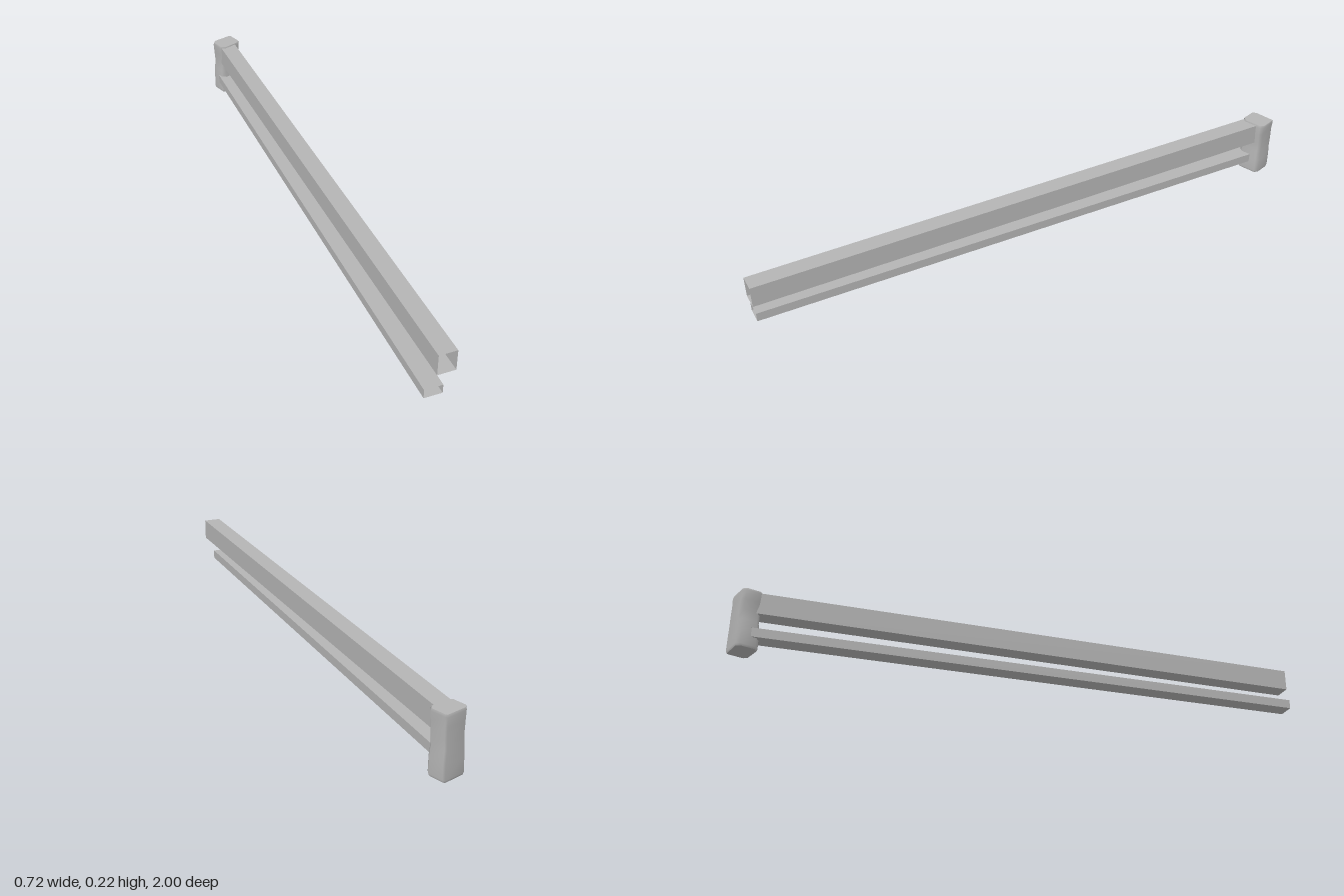
import * as THREE from 'three';

const grey = new THREE.MeshStandardMaterial({ color: 0xb4b4b4, side: THREE.DoubleSide });
grey.name = 'plain grey';

// Open-ended rectangular tube between two points given as [x, z]
function beam(name, from, to, bottom, top, width) {
  const dx = to[0] - from[0], dz = to[1] - from[1];
  const geo = new THREE.BoxGeometry(width, top - bottom, Math.hypot(dx, dz));
  geo.setIndex(Array.from(geo.index.array).slice(0, 24)); // keep the four long sides only
  geo.clearGroups();
  const mesh = new THREE.Mesh(geo, grey);
  mesh.name = name;
  mesh.position.set((from[0] + to[0]) / 2, (bottom + top) / 2, (from[1] + to[1]) / 2);
  mesh.rotation.y = Math.atan2(dx, dz);
  return mesh;
}

// Upright block lofted through chamfered cross-sections, slightly waisted
function endBlock() {
  const cx = 0.31, cz = -0.96;
  const plan = [[-0.047, -0.028], [-0.034, -0.040], [0.044, -0.040], [0.047, -0.032],
    [0.047, 0.024], [0.036, 0.036], [-0.032, 0.040], [-0.047, 0.026]];
  // height, x scale, z scale, x shift, z shift
  const levels = [[0, 0.95, 0.93, 0, 0], [0.008, 1, 1, 0, 0], [0.06, 1, 0.98, 0, 0],
    [0.1, 0.94, 0.93, 0, -0.002], [0.135, 0.92, 0.94, 0.002, -0.001],
    [0.175, 0.95, 0.97, 0, 0.001], [0.207, 1, 0.98, 0, 0.001], [0.215, 0.96, 0.92, 0, 0.001]];
  const n = plan.length, pos = [], idx = [];
  const ring = ([y, sx, sz, ox, oz]) =>
    plan.forEach(([x, z]) => pos.push(cx + x * sx + ox, y, cz + z * sz + oz));
  levels.forEach(ring);
  for (let i = 0; i < levels.length - 1; i++) {
    for (let j = 0; j < n; j++) {
      const a = i * n + j, b = i * n + (j + 1) % n;
      idx.push(a, a + n, b, b, a + n, b + n);
    }
  }
  // Flat caps with their own corners
  [levels[0], levels[levels.length - 1]].forEach((level, k) => {
    const s = pos.length / 3;
    ring(level);
    for (let j = 1; j < n - 1; j++) {
      if (k === 0) idx.push(s, s + j, s + j + 1);
      else idx.push(s, s + j + 1, s + j);
    }
  });
  const geo = new THREE.BufferGeometry();
  geo.setAttribute('position', new THREE.Float32BufferAttribute(pos, 3));
  geo.setIndex(idx);
  geo.computeVertexNormals();
  const mesh = new THREE.Mesh(geo, grey);
  mesh.name = 'endBlock';
  return mesh;
}

export function createModel() {
  const model = new THREE.Group();
  model.name = 'doubleRail';
  model.add(
    beam('upperBeam', [-0.303, 0.99], [0.302, -0.943], 0.133, 0.21, 0.063),
    beam('lowerBeam', [-0.33, 0.969], [0.291, -0.945], 0.04, 0.073, 0.063),
    endBlock(),
  );
  return model;
}
